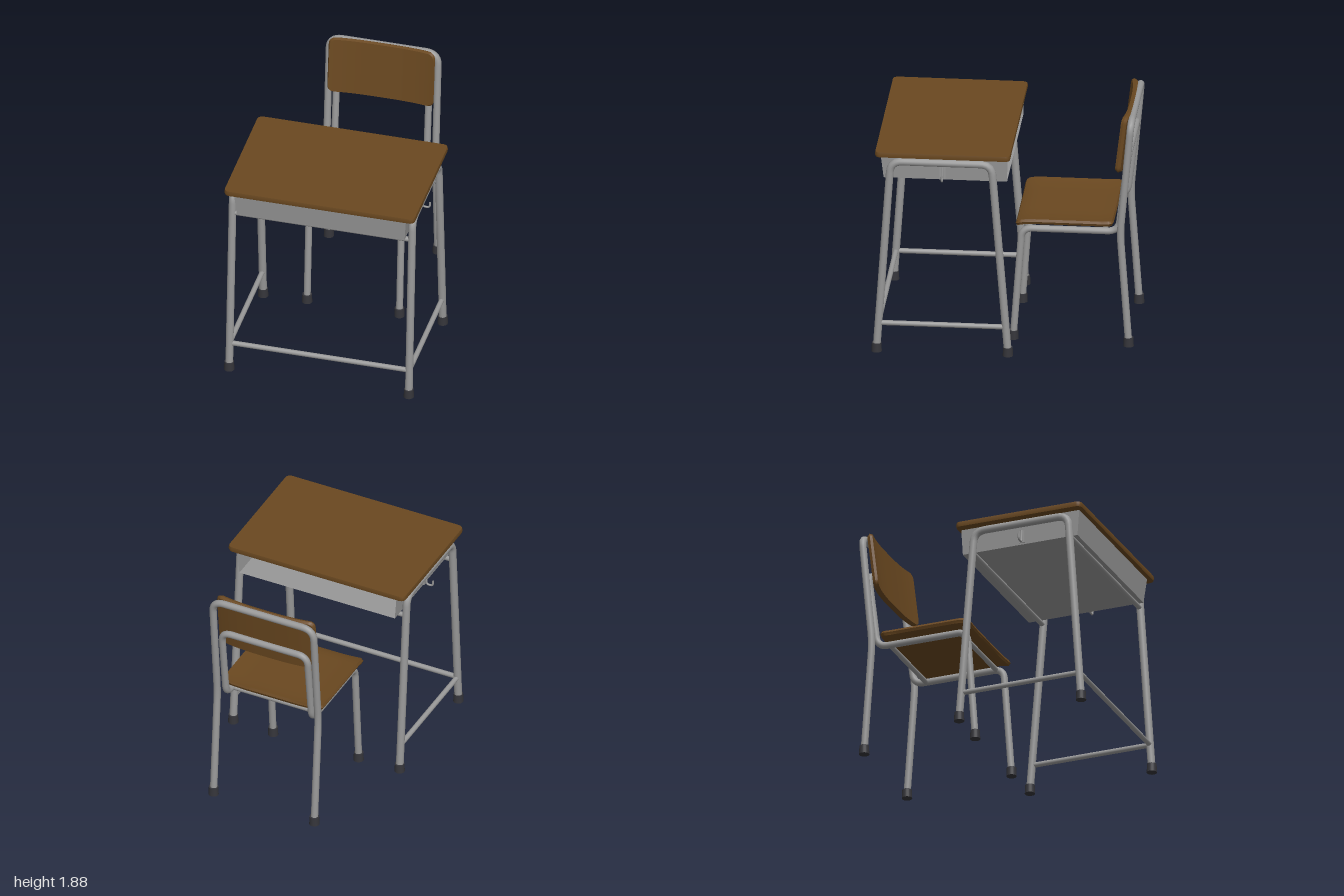
import * as THREE from 'three';
import { toCreasedNormals } from 'three/addons/utils/BufferGeometryUtils.js';

const mat = (name, color, side = THREE.FrontSide) => {
  const m = new THREE.MeshStandardMaterial({ color, side });
  m.name = name;
  return m;
};
const V = (x, y, z) => new THREE.Vector3(x, y, z);

// Tube along a polyline whose inner corners are rounded
function tube(points, radius, bend = 0.1, segments = 120) {
  const path = new THREE.CurvePath();
  let from = points[0];
  for (let i = 1; i < points.length - 1; i++) {
    const p = points[i];
    const a = p.clone().add(points[i - 1].clone().sub(p).setLength(bend));
    const b = p.clone().add(points[i + 1].clone().sub(p).setLength(bend));
    path.add(new THREE.LineCurve3(from, a));
    path.add(new THREE.QuadraticBezierCurve3(a, p, b));
    from = b;
  }
  path.add(new THREE.LineCurve3(from, points[points.length - 1]));
  return new THREE.TubeGeometry(path, points.length > 2 ? segments : 1, radius, 14);
}

// Board in the XY plane with rounded corners r, eased rims b and a bending rule
function board(w, h, t, r, b, rule) {
  const n = 24, k = 4;
  const geo = new THREE.BoxGeometry(w, h, t, n, n, 2);
  const pos = geo.attributes.position;
  const remap = (v, size) => {
    const i = Math.round((v / size + 0.5) * n), half = size / 2;
    if (i <= k) return -half + (r * i) / k;
    if (i >= n - k) return half - (r * (n - i)) / k;
    return -half + r + ((size - 2 * r) * (i - k)) / (n - 2 * k);
  };
  for (let i = 0; i < pos.count; i++) {
    let x = remap(pos.getX(i), w), y = remap(pos.getY(i), h), z = pos.getZ(i);
    const rim = Math.abs(x) > w / 2 - 1e-5 || Math.abs(y) > h / 2 - 1e-5;
    const cx = THREE.MathUtils.clamp(x, r - w / 2, w / 2 - r);
    const cy = THREE.MathUtils.clamp(y, r - h / 2, h / 2 - r);
    const dx = x - cx, dy = y - cy, len = Math.hypot(dx, dy);
    if (len > 1e-6) {
      const s = Math.max(Math.abs(dx), Math.abs(dy)) / len;
      x = cx + dx * s;
      y = cy + dy * s;
    }
    if (rim && Math.abs(z) > t / 2 - 1e-5) {
      x *= 1 - (2 * b) / w;
      y *= 1 - (2 * b) / h;
    }
    pos.setXYZ(i, x, y, z + (rule ? rule(x, y) : 0));
  }
  return toCreasedNormals(geo, 0.6);
}

export function createModel() {
  const wood = mat('brownWood', 0x6a4820);
  const metal = mat('greyMetal', 0x989898, THREE.DoubleSide);
  const rubber = mat('darkRubber', 0x35353a);

  const model = new THREE.Group();
  const desk = new THREE.Group();
  const chair = new THREE.Group();
  desk.name = 'desk';
  chair.name = 'chair';
  model.add(desk, chair);

  const add = (parent, name, geo, material, x = 0, y = 0, z = 0) => {
    const mesh = new THREE.Mesh(geo, material);
    mesh.name = name;
    mesh.position.set(x, y, z);
    parent.add(mesh);
    return mesh;
  };
  const foot = (parent, x, z) =>
    add(parent, 'footCap', new THREE.CylinderGeometry(0.037, 0.04, 0.07, 20), rubber, x, 0.035, z);
  const crossBar = (parent, name, half, y, z, r = 0.02) =>
    add(parent, name, tube([V(-half, y, z), V(half, y, z)], r), metal);

  // Desk top
  add(desk, 'deskTop', board(1.51, 1.04, 0.04, 0.04, 0.004), wood, 0, 1.64, 0.45).rotation.x = -Math.PI / 2;

  // Book tray: tapered thin shell, open at the top and back
  const tray = new THREE.BoxGeometry(1.36, 0.2, 0.975);
  const tp = tray.attributes.position;
  for (let i = 0; i < tp.count; i++) {
    if (tp.getY(i) > 0) continue;
    tp.setX(i, tp.getX(i) * 0.975);
    tp.setZ(i, tp.getZ(i) > 0 ? tp.getZ(i) - 0.022 : tp.getZ(i) + 0.006);
  }
  const faces = Array.from(tray.index.array);
  tray.setIndex([...faces.slice(0, 12), ...faces.slice(18, 30)]);
  tray.computeVertexNormals();
  add(desk, 'bookTray', tray, metal, 0, 1.52, 0.4425);

  // Desk side frames, feet, side rails and bag hooks
  for (const s of [-1, 1]) {
    const x = 0.71 * s;
    add(desk, 'deskSideFrame', tube([
      V(x, 0.03, 0.957), V(x, 1.575, 0.85), V(x, 1.575, 0.075), V(x, 0.03, -0.05),
    ], 0.03, 0.09), metal);
    foot(desk, x, 0.957);
    foot(desk, x, -0.05);
    add(desk, 'deskSideRail', tube([V(x, 0.235, 0.94), V(x, 0.235, -0.03)], 0.02), metal);
    add(desk, 'hookPlate', new THREE.BoxGeometry(0.008, 0.1, 0.045), metal, 0.675 * s, 1.48, 0.455);
    add(desk, 'bagHook', tube([
      V(0.682 * s, 1.53, 0.455), V(0.69 * s, 1.43, 0.455),
      V(0.74 * s, 1.43, 0.455), V(0.745 * s, 1.475, 0.455),
    ], 0.008, 0.02, 40), metal);
  }
  crossBar(desk, 'deskFrontRail', 0.71, 0.235, 0.943);
  crossBar(desk, 'trayFrontBar', 0.70, 1.4, 0.862);
  crossBar(desk, 'trayBackBar', 0.70, 1.4, 0.06);

  // Chair seat: sides turn up, front edge rolls down
  const seatRule = (x, y) => {
    const side = Math.max(0, Math.abs(x) - 0.2) / 0.23;
    const front = Math.max(0, -y - 0.27) / 0.105;
    const back = Math.max(0, y - 0.27) / 0.105;
    return 0.016 * side * side - 0.022 * front * front + 0.006 * back * back;
  };
  add(chair, 'seat', board(0.86, 0.75, 0.04, 0.04, 0.01, seatRule), wood, 0, 0.98, -0.455).rotation.x = -Math.PI / 2;

  // Backrest: ends curve forward, leaning back
  const backRule = (x) => 0.035 * Math.pow(Math.abs(x) / 0.42, 3);
  add(chair, 'backrest', board(0.84, 0.47, 0.042, 0.05, 0.01, backRule), wood, 0, 1.64, -0.92).rotation.x = -0.12;

  // Rear legs and back hoop in one tube
  const rear = [V(0.43, 0.03, -0.95), V(0.43, 0.93, -0.885), V(0.43, 1.842, -0.968)];
  const mirrored = (pts) => [...pts, ...pts.map((p) => V(-p.x, p.y, p.z)).reverse()];
  add(chair, 'backHoop', tube(mirrored(rear), 0.028, 0.1, 200), metal);

  // Front legs, seat rails and inner hoop in one tube
  const inner = [
    V(0.365, 0.03, -0.06), V(0.365, 0.917, -0.125),
    V(0.365, 0.917, -0.865), V(0.365, 1.55, -0.942),
  ];
  add(chair, 'seatFrame', tube(mirrored(inner), 0.027, 0.085, 300), metal);
  crossBar(chair, 'seatFrontBar', 0.36, 0.912, -0.18);
  crossBar(chair, 'seatBackBar', 0.36, 0.912, -0.76);
  for (const s of [-1, 1]) {
    foot(chair, 0.43 * s, -0.95);
    foot(chair, 0.365 * s, -0.06);
  }
  return model;
}
